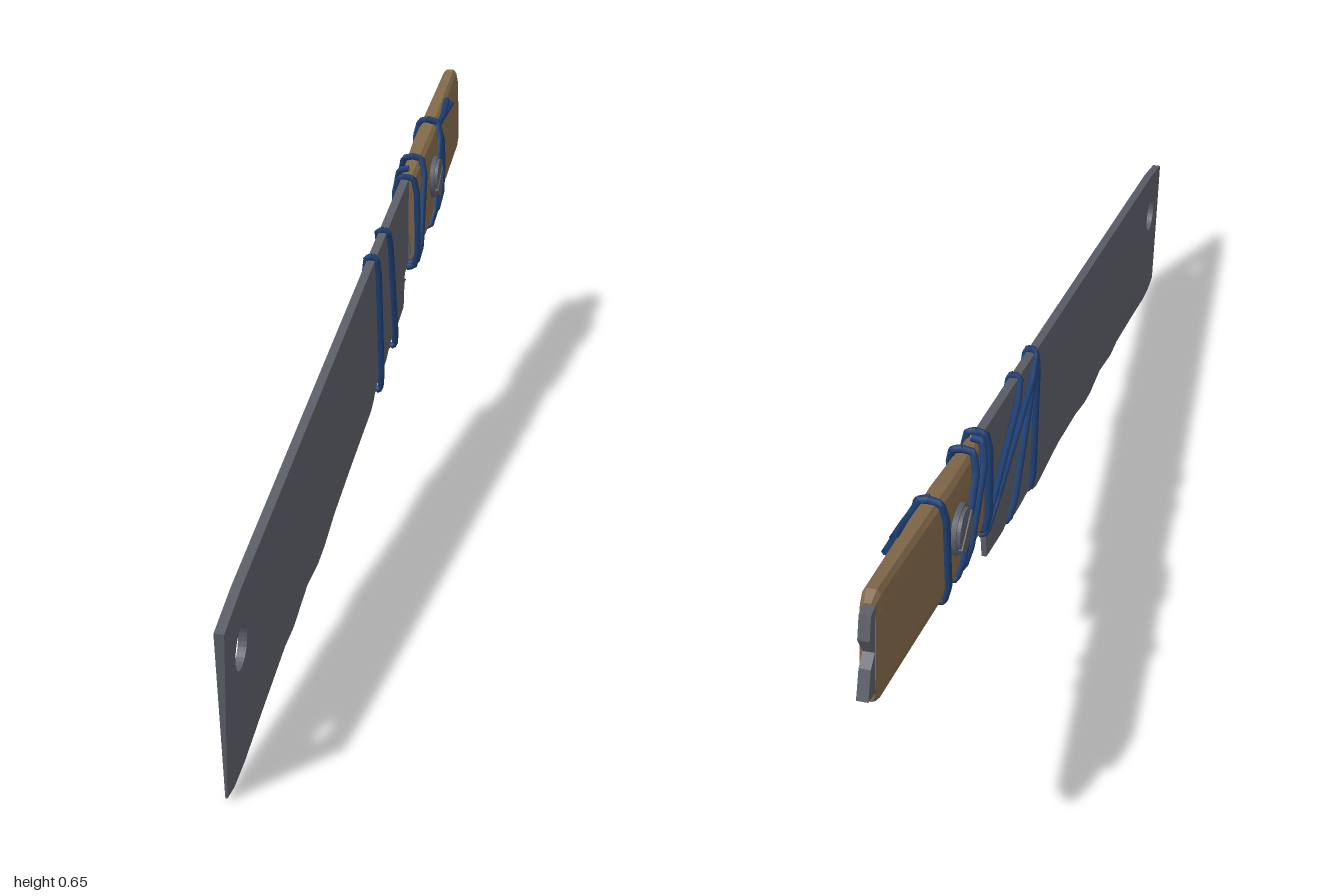
import * as THREE from 'three';

const material = (name, color) => new THREE.MeshStandardMaterial({ name, color, side: THREE.DoubleSide });

// Flat plate from a [z, y] outline; sideX(sign, z, y) gives the x of each face
function plate(outline, sideX, hole) {
  const shape = new THREE.Shape(outline.map(([z, y]) => new THREE.Vector2(-z, y)));
  if (hole) {
    const path = new THREE.Path();
    path.absarc(-hole.z, hole.y, hole.r, 0, Math.PI * 2, true);
    shape.holes.push(path);
  }
  const g = new THREE.ExtrudeGeometry(shape, { depth: 1, bevelEnabled: false, curveSegments: 14 });
  g.rotateY(Math.PI / 2);
  const p = g.attributes.position;
  for (let i = 0; i < p.count; i++) {
    p.setX(i, sideX(p.getX(i) > 0.5 ? 1 : -1, p.getZ(i), p.getY(i)));
  }
  g.computeVertexNormals();
  return g;
}

// Grip lofted through rounded sections given as [topZ, topY, bottomZ, bottomY, halfWidth]
function loftGrip(stations) {
  const section = [[0.45, 1], [0.8, 0.96], [1, 0.84], [1, 0.16], [0.8, 0.04], [0.45, 0]];
  const ring = [...section, ...section.map(([x, v]) => [-x, v]).reverse()];
  const n = ring.length, pos = [], idx = [];
  for (const [tz, ty, bz, by, w] of stations) {
    for (const [x, v] of ring) pos.push(x * w, by + (ty - by) * v, bz + (tz - bz) * v);
  }
  for (let s = 0; s < stations.length - 1; s++) {
    for (let i = 0; i < n; i++) {
      const a = s * n + i, b = s * n + (i + 1) % n;
      idx.push(a, b, a + n, b, b + n, a + n);
    }
  }
  const last = (stations.length - 1) * n;
  for (let i = 1; i < n - 1; i++) {
    idx.push(0, i + 1, i, last, last + i, last + i + 1);
  }
  const g = new THREE.BufferGeometry();
  g.setAttribute('position', new THREE.Float32BufferAttribute(pos, 3));
  g.setIndex(idx);
  const flat = g.toNonIndexed();
  flat.computeVertexNormals();
  return flat;
}

export function createModel() {
  const group = new THREE.Group();
  const steel = material('dark steel', 0x5a5d66);
  const wood = material('brown wood', 0x806748);
  const cordBlue = material('blue cord', 0x1c3d70);
  const add = (name, geometry, mat, parent = group) => {
    const m = new THREE.Mesh(geometry, mat);
    m.name = name;
    parent.add(m);
    return m;
  };

  // Blade: broad face thinning downward, with a ground edge on the right side
  const bladeX = (sign, z, y) => {
    const h = y - (0.205 - 0.21 * z);
    if (sign > 0) return -0.003 + 0.002 + 0.007 * THREE.MathUtils.clamp(h / 0.25, 0, 1);
    return -0.003 - (h < 0.045 && z > 0.1 ? 0.001 : 0.0065);
  };
  const grind = [[0.98, 0.005], [0.72, 0.125], [0.14, 0.205], [0.11, 0.16]];
  add('blade', plate([
    [-0.435, 0.552], [-0.405, 0.55], [-0.075, 0.49], [0.905, 0.305], [1, 0.28],
    ...grind,
    [-0.07, 0.195], [-0.1, 0.208], [-0.115, 0.225], [-0.18, 0.235], [-0.22, 0.243],
    [-0.26, 0.265], [-0.3, 0.266], [-0.4, 0.29], [-0.4, 0.36], [-0.435, 0.372],
  ], bladeX, { z: 0.905, y: 0.21, r: 0.034 }), steel);
  add('cuttingEdge', plate([
    ...grind,
    [0.25, 0.13], [0.33, 0.105], [0.38, 0.096], [0.46, 0.095], [0.56, 0.068],
    [0.62, 0.064], [0.78, 0.03], [0.88, 0.007], [0.94, 0],
  ], bladeX), steel);

  // Tang running through the grip, with a broken end
  add('tang', plate([
    [-0.42, 0.53], [-0.945, 0.64], [-0.968, 0.637], [-0.98, 0.6], [-0.962, 0.565],
    [-0.982, 0.55], [-1, 0.505], [-0.965, 0.495], [-0.43, 0.39],
  ], (sign) => -0.002 + sign * 0.009), steel);

  // Wooden grip
  add('grip', loftGrip([
    [-0.41, 0.545, -0.435, 0.38, 0.015],
    [-0.425, 0.553, -0.445, 0.375, 0.018],
    [-0.6, 0.589, -0.62, 0.408, 0.023],
    [-0.8, 0.628, -0.82, 0.445, 0.019],
    [-0.93, 0.653, -0.96, 0.472, 0.017],
    [-0.95, 0.643, -0.972, 0.48, 0.012],
  ]), wood);

  // Slotted rivet on each side of the grip
  for (const side of [1, -1]) {
    const rivet = new THREE.Group();
    rivet.name = side > 0 ? 'leftRivet' : 'rightRivet';
    const base = add('rivetBase', new THREE.CylinderGeometry(0.041, 0.043, 0.014, 18), steel, rivet);
    base.rotation.x = Math.PI / 2;
    base.position.z = 0.024;
    for (const turn of [0, Math.PI]) {
      const half = new THREE.Shape();
      half.absarc(0, 0.004, 0.034, 0, Math.PI, false);
      const g = new THREE.ExtrudeGeometry(half, { depth: 0.006, bevelEnabled: false, curveSegments: 10 });
      add('rivetHead', g.translate(0, 0, 0.031).rotateZ(turn + 0.6), steel, rivet);
    }
    rivet.rotation.y = side * Math.PI / 2;
    rivet.position.set(0, 0.506, -0.597);
    group.add(rivet);
  }

  // Cord strands: each crosses one face and tucks over both edges
  const tube = (name, points) => add(name, new THREE.TubeGeometry(
    new THREE.CatmullRomCurve3(points.map((p) => new THREE.Vector3(...p)), false, 'catmullrom', 0),
    40, 0.0065, 6), cordBlue);
  const strand = (name, x, [z0, y0], [z1, y1]) => tube(name, [
    [0, y0 + 0.004, z0], [x * 0.7, y0, z0], [x, y0 - 0.03, z0 + (z1 - z0) * 0.15],
    [x, y1 + 0.03, z1 + (z0 - z1) * 0.15], [x * 0.7, y1, z1], [0, y1 - 0.004, z1],
  ]);
  const topA = [-0.075, 0.492], lowA = [-0.118, 0.225];
  const topB = [-0.185, 0.51], lowB = [-0.262, 0.262];
  const guardTop = [-0.41, 0.551], guardLow = [-0.425, 0.37];
  const gripTop = [-0.488, 0.572], gripLow = [-0.44, 0.374];
  const knotTop = [-0.665, 0.604];
  const bladeCords = [
    [0.011, topA, lowA], [0.011, topB, lowB],
    [-0.014, topA, lowA], [-0.014, topA, lowB], [-0.016, topA, [-0.405, 0.345]],
    [-0.016, topB, [-0.408, 0.365]],
  ];
  const gripCords = [
    [0.022, guardTop, guardLow], [0.024, gripTop, gripLow],
    [0.026, knotTop, [-0.592, 0.404]],
    [-0.022, guardTop, guardLow], [-0.026, gripTop, [-0.6, 0.406]],
    [-0.026, [-0.44, 0.56], [-0.56, 0.398]], [-0.026, knotTop, [-0.665, 0.415]],
  ];
  for (const c of bladeCords) strand('bladeCord', ...c);
  for (const c of gripCords) strand('gripCord', ...c);

  // Bowed strand and loose ends at the knot
  tube('knotCord', [
    [0, 0.608, -0.66], [0.018, 0.603, -0.663], [0.025, 0.56, -0.685],
    [0.025, 0.5, -0.693], [0.025, 0.45, -0.683], [0.018, 0.415, -0.665], [0, 0.41, -0.665],
  ]);
  tube('looseEnd', [[0.018, 0.598, -0.66], [0.022, 0.603, -0.73], [0.024, 0.61, -0.8]]);
  tube('looseEnd', [[0.018, 0.59, -0.66], [0.021, 0.605, -0.72], [0.018, 0.622, -0.78]]);

  return group;
}
